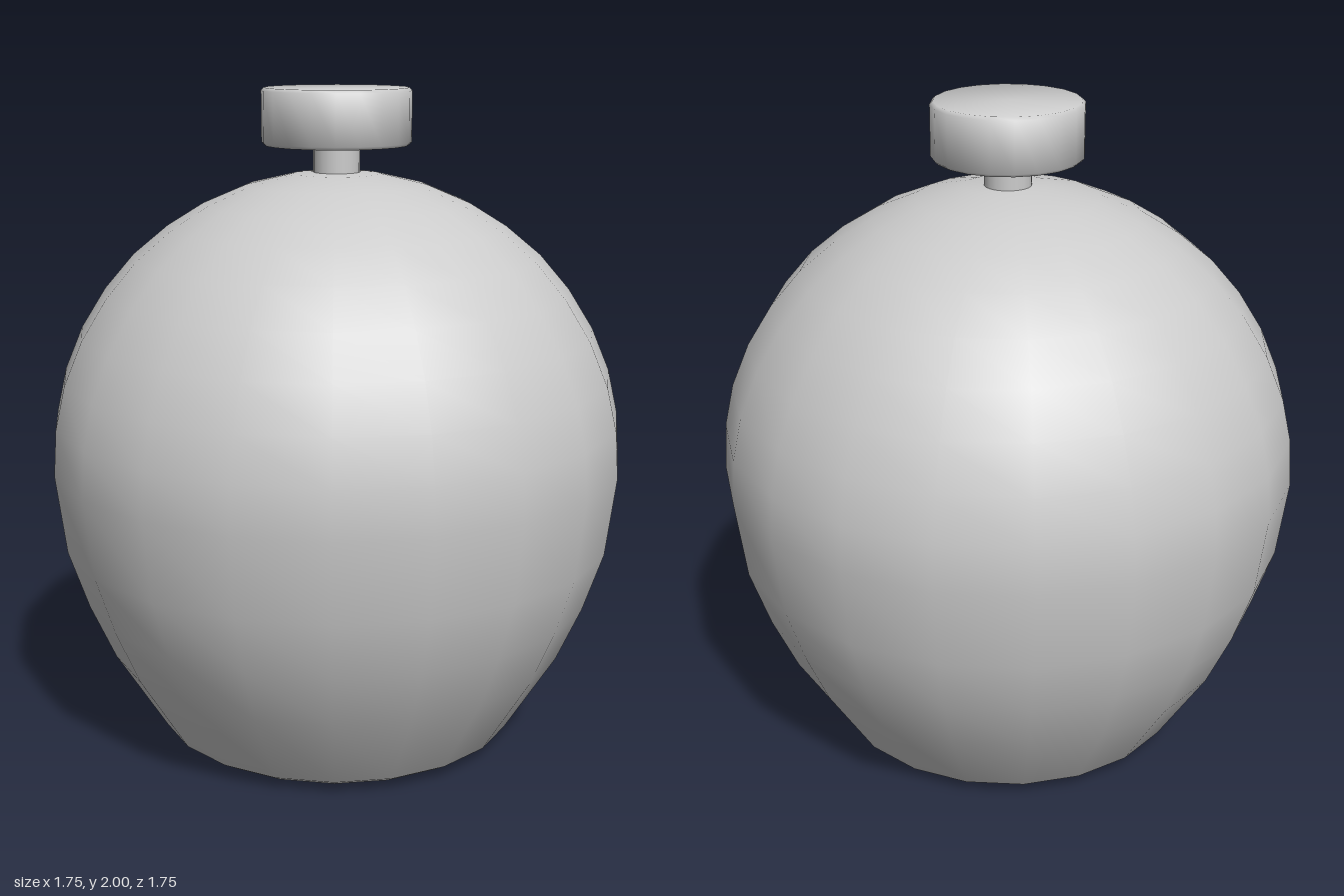
import * as THREE from 'three';
import { toCreasedNormals } from 'three/addons/utils/BufferGeometryUtils.js';

const SIDES = 20;

// Turned solid from [radius, height] pairs, bottom to top
function turned(name, profile, crease) {
  const points = profile.map(([r, y]) => new THREE.Vector2(r, y));
  let geometry = new THREE.LatheGeometry(points, SIDES);
  if (crease) geometry = toCreasedNormals(geometry, crease);
  const mesh = new THREE.Mesh(geometry, new THREE.MeshStandardMaterial({ color: 0xcccccc }));
  mesh.name = name;
  return mesh;
}

export function createModel() {
  const group = new THREE.Group();
  group.name = 'roundBottle';

  // Round body: flat base, tapering lower half, domed shoulder
  group.add(turned('body', [
    [0, 0], [0.38, 0.003], [0.51, 0.013], [0.555, 0.04], [0.71, 0.29],
    [0.785, 0.46], [0.845, 0.64], [0.875, 0.88], [0.865, 1.02], [0.835, 1.15],
    [0.78, 1.28], [0.705, 1.4], [0.615, 1.505], [0.51, 1.592], [0.4, 1.66],
    [0.27, 1.715], [0.13, 1.748], [0, 1.757],
  ]));

  // Thin neck between body and cap
  group.add(turned('neck', [[0.07, 1.73], [0.07, 1.845]]));

  // Flat disc cap with small bevelled rims
  group.add(turned('cap', [
    [0, 1.832], [0.215, 1.832], [0.224, 1.841],
    [0.224, 1.991], [0.215, 2], [0, 2],
  ], 0.9));

  return group;
}
